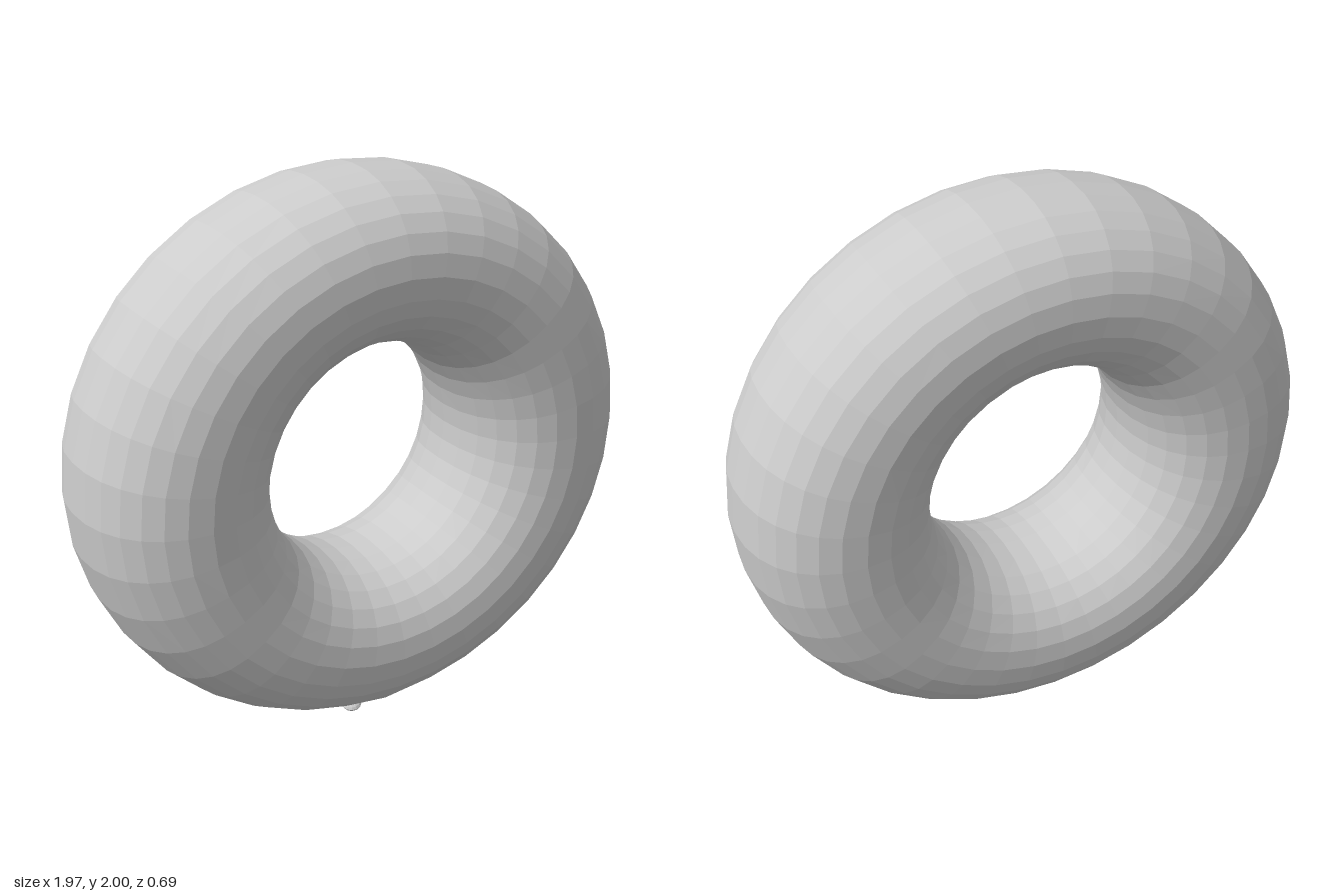
import * as THREE from 'three';

const CENTRE_Y = 1.055;

// Superellipse component: slightly squarer than a plain sine or cosine
const soft = (t) => Math.sign(t) * Math.pow(Math.abs(t), 2 / 2.2);

// Ring with a rounded-square section, drawn to a point at the bottom
function ringGeometry() {
  const geo = new THREE.TorusGeometry(0.68, 0.3, 28, 36);
  const pos = geo.attributes.position;
  const uv = geo.attributes.uv;
  for (let i = 0; i < pos.count; i++) {
    const u = uv.getX(i) * Math.PI * 2;
    const v = uv.getY(i) * Math.PI * 2;
    const c = soft(Math.cos(v));
    const rx = 0.678 + 0.307 * c;
    const ry = (Math.sin(u) > 0 ? 0.665 : 0.657) + (Math.sin(u) > 0 ? 0.28 : 0.272) * c;
    const x = rx * Math.cos(u);
    let y = CENTRE_Y + ry * Math.sin(u);
    const z = 0.345 * soft(Math.sin(v));
    // Pull the underside toward the neck
    if (y < 0.4) y -= 0.05 * Math.max(0, 1 - Math.hypot(x, z) / 0.27);
    pos.setXYZ(i, x, y, z);
  }
  geo.computeVertexNormals();
  return geo;
}

function lathe(points, sides) {
  return new THREE.LatheGeometry(points.map(([r, y]) => new THREE.Vector2(r, y)), sides);
}

export function createModel() {
  const model = new THREE.Group();
  const material = new THREE.MeshStandardMaterial({
    color: 0xcccccc, flatShading: true, side: THREE.DoubleSide,
  });
  const add = (name, geometry) => {
    const mesh = new THREE.Mesh(geometry, material);
    mesh.name = name;
    model.add(mesh);
    return mesh;
  };

  add('inflatedRing', ringGeometry());

  // Narrow neck flaring up into the ring
  add('neck', lathe([[0.011, 0.045], [0.012, 0.06], [0.025, 0.071], [0.06, 0.086], [0.11, 0.112]], 14));

  // Flared, slightly tilted lip below the neck
  const lip = add('tiedLip', lathe([
    [0, 0.012], [0.02, 0.006], [0.032, 0.009], [0.035, 0.016], [0.03, 0.024], [0.015, 0.036], [0.011, 0.055],
  ], 12));
  lip.rotation.set(0.12, 0, 0.15);

  return model;
}
